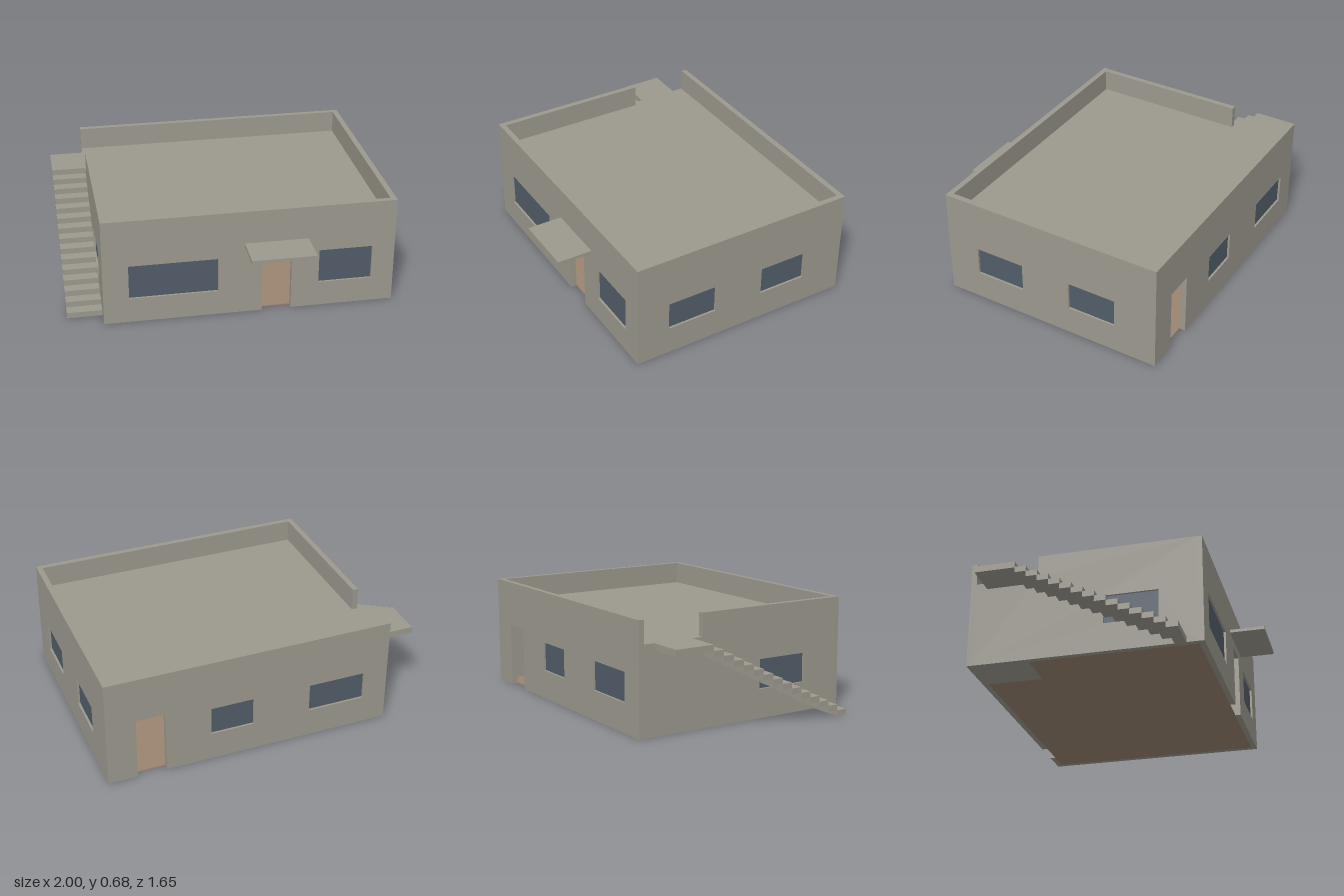
import * as THREE from 'three';

const T = 0.035; // wall thickness
const H = 0.68;  // parapet height
const ROOF = 0.54;

const mat = (name, color) => {
  const m = new THREE.MeshStandardMaterial({ color });
  m.name = name;
  return m;
};

export function createModel() {
  const house = new THREE.Group();
  house.name = 'house';
  const plaster = mat('plaster', 0x9c998e);
  const glass = mat('glass', 0x525d69);
  const floorTan = mat('floorTan', 0x9a8470);

  // Box from its min and max corners
  const box = (name, m, x0, x1, y0, y1, z0, z1, parent = house) => {
    const mesh = new THREE.Mesh(new THREE.BoxGeometry(x1 - x0, y1 - y0, z1 - z0), m);
    mesh.position.set((x0 + x1) / 2, (y0 + y1) / 2, (z0 + z1) / 2);
    mesh.name = name;
    parent.add(mesh);
    return mesh;
  };

  // Wall drawn in (u, y), with door notches, window holes and recessed panes
  const wall = (name, outline, windows) => {
    const g = new THREE.Group();
    g.name = name;
    const shape = new THREE.Shape(outline.map(([u, y]) => new THREE.Vector2(u, y)));
    for (const [u0, u1, y0, y1] of windows) {
      shape.holes.push(new THREE.Path([
        new THREE.Vector2(u0, y0), new THREE.Vector2(u0, y1),
        new THREE.Vector2(u1, y1), new THREE.Vector2(u1, y0),
      ]));
      box('windowPane', glass, u0, u1, y0, y1, T / 2 - 0.004, T / 2 + 0.004, g);
    }
    const mesh = new THREE.Mesh(
      new THREE.ExtrudeGeometry(shape, { depth: T, bevelEnabled: false }), plaster);
    mesh.name = name + 'Panel';
    g.add(mesh);
    house.add(g);
    return g;
  };
  const withDoor = (u0, u1, d0, d1, top) => [
    [u0, 0], [d0, 0], [d0, 0.4], [d1, 0.4], [d1, 0], [u1, 0], [u1, top], [u0, top],
  ];

  // Outer walls
  wall('frontWall', withDoor(-0.785, 1, 0.18, 0.36, H),
    [[-0.63, -0.09, 0.16, 0.38], [0.53, 0.86, 0.16, 0.38]]).position.z = 0.605 - T;
  wall('backWall', withDoor(-0.785, 1, 0.64, 0.82, H),
    [[-0.63, -0.27, 0.18, 0.36], [0.09, 0.36, 0.18, 0.36]]).position.z = -0.825;
  const left = wall('leftWall', [[-0.79, 0], [0.57, 0], [0.57, H], [-0.79, H]],
    [[0.077, 0.396, 0.18, 0.36], [-0.553, -0.245, 0.18, 0.36]]);
  left.rotation.y = -Math.PI / 2;
  left.position.x = 1;
  // The parapet is open here, where the stairs arrive
  const right = wall('rightWall',
    [[-0.79, 0], [0.57, 0], [0.57, H], [-0.4, H], [-0.4, ROOF], [-0.79, ROOF]],
    [[0.01, 0.34, 0.18, 0.36]]);
  right.rotation.y = -Math.PI / 2;
  right.position.x = -0.785 + T;

  // Roof and floor slabs, with a plain floor in the corner room
  box('roofSlab', plaster, -0.75, 0.965, 0.5, ROOF, -0.79, 0.57);
  box('mainFloor', floorTan, -0.75, 0.965, 0, 0.006, -0.45, 0.57);
  box('rearFloor', floorTan, -0.5, 0.965, 0, 0.006, -0.79, -0.45);
  box('cornerFloor', plaster, -0.75, -0.5, 0, 0.006, -0.79, -0.45);

  // Inner partitions
  for (const [x0, x1, z0, z1] of [
    [0.8, 0.965, -0.2, -0.175], [-0.02, 0.46, -0.2, -0.175], [-0.75, -0.2, -0.2, -0.175],
    [0.09, 0.115, -0.79, -0.2], [-0.5, -0.475, -0.79, -0.45],
  ]) box('partition', plaster, x0, x1, 0.006, 0.5, z0, z1);

  // Canopy over the front door
  box('canopy', plaster, 0.07, 0.46, 0.45, 0.47, 0.605, 0.825);

  // Outside stairs up to the roof landing
  const stairs = new THREE.Group();
  stairs.name = 'stairs';
  house.add(stairs);
  const rise = ROOF / 15, run = 0.97 / 14;
  for (let i = 0; i < 14; i++) {
    box('step', plaster, -1, -0.785, i * rise, (i + 1) * rise,
      0.5 - (i + 1) * run, 0.5 - i * run, stairs);
  }
  box('landing', plaster, -1, -0.785, ROOF - 0.04, ROOF, -0.72, -0.47, stairs);

  return house;
}
